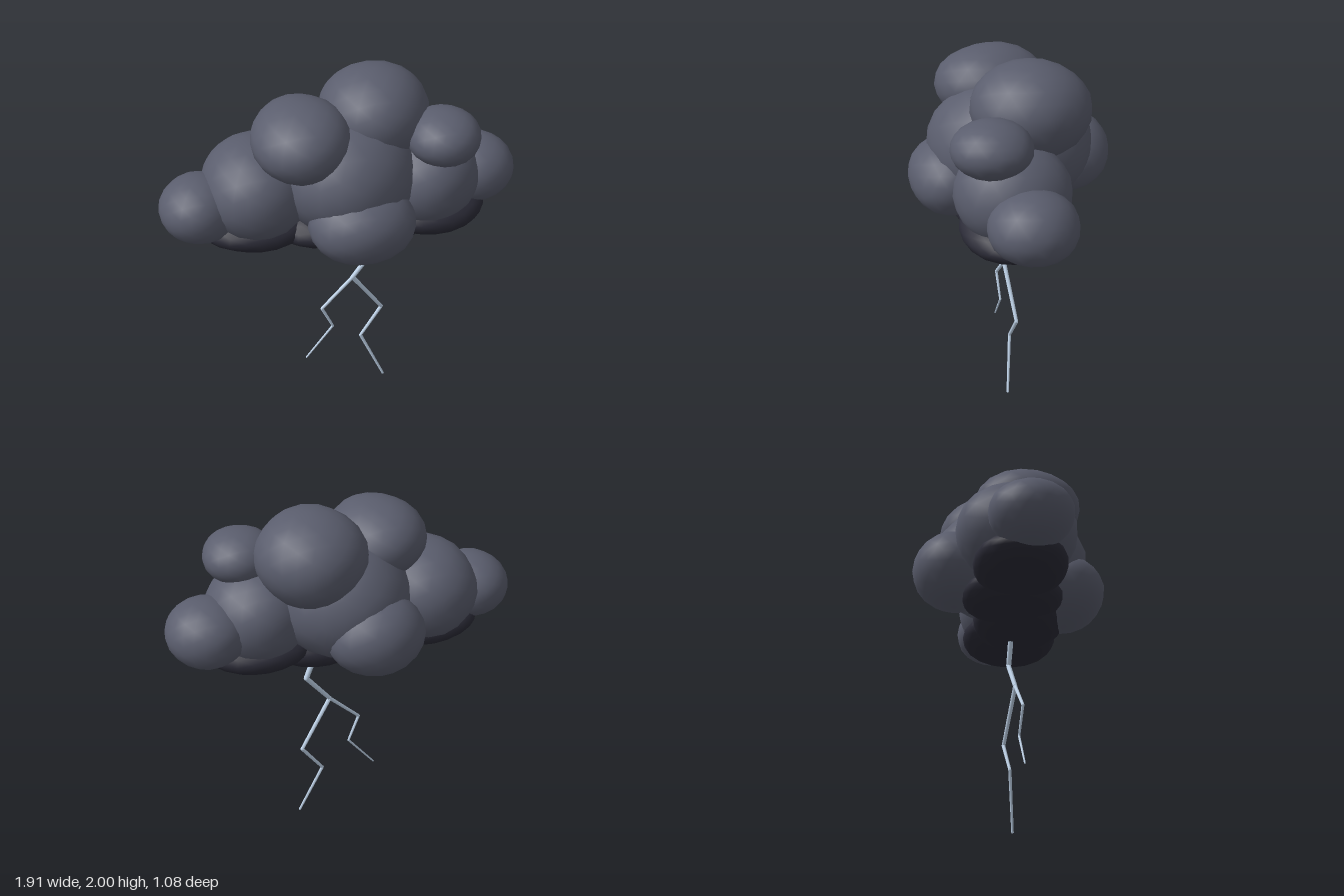
import * as THREE from 'three';
import { mergeVertices } from 'three/addons/utils/BufferGeometryUtils.js';

const cloudMat = new THREE.MeshStandardMaterial({ color: 0x5a5d6d });
const baseMat = new THREE.MeshStandardMaterial({ color: 0x2c2c38 });
const boltMat = new THREE.MeshStandardMaterial({ color: 0xc4d8ee });

// Smooth, slightly lumpy ellipsoid
function puff(name, [x, y, z], [rx, ry, rz], material, seed) {
  let geo = new THREE.IcosahedronGeometry(1, 3);
  geo.deleteAttribute('normal');
  geo.deleteAttribute('uv');
  geo = mergeVertices(geo, 1e-4);
  const pos = geo.attributes.position;
  const v = new THREE.Vector3();
  for (let i = 0; i < pos.count; i++) {
    v.fromBufferAttribute(pos, i);
    const lump = Math.sin(v.x * 3.1 + seed) * Math.sin(v.y * 2.7 + seed * 1.7) * Math.cos(v.z * 2.9 + seed * 0.6);
    v.multiplyScalar(1 + 0.025 * lump);
    pos.setXYZ(i, v.x * rx, v.y * ry, v.z * rz);
  }
  geo.computeVertexNormals();
  const mesh = new THREE.Mesh(geo, material);
  mesh.name = name;
  mesh.position.set(x, y, z);
  return mesh;
}

// Zigzag of tapering rods through the given points
function bolt(name, points, r0, r1) {
  const group = new THREE.Group();
  group.name = name;
  const pts = points.map((p) => new THREE.Vector3(...p));
  const n = pts.length - 1;
  const up = new THREE.Vector3(0, 1, 0);
  for (let i = 0; i < n; i++) {
    const a = pts[i], b = pts[i + 1];
    const ra = THREE.MathUtils.lerp(r0, r1, i / n);
    const rb = THREE.MathUtils.lerp(r0, r1, (i + 1) / n);
    const dir = b.clone().sub(a);
    const rod = new THREE.Mesh(new THREE.CylinderGeometry(rb, ra, dir.length(), 6), boltMat);
    rod.name = 'boltSegment';
    rod.position.copy(a).add(b).multiplyScalar(0.5);
    rod.quaternion.setFromUnitVectors(up, dir.normalize());
    group.add(rod);
    // Joint filling the bend
    if (i > 0) {
      const joint = new THREE.Mesh(new THREE.SphereGeometry(ra, 6, 4), boltMat);
      joint.name = 'boltJoint';
      joint.position.copy(a);
      group.add(joint);
    }
  }
  return group;
}

export function createModel() {
  const model = new THREE.Group();
  model.name = 'stormCloud';

  // Upper cloud puffs: name, centre, radii
  const cloud = new THREE.Group();
  cloud.name = 'cloud';
  [
    ['corePuff', [0.02, 1.49, 0], [0.38, 0.34, 0.44]],
    ['topLeftPuff', [0.19, 1.75, -0.09], [0.29, 0.25, 0.31]],
    ['topRightPuff', [-0.215, 1.73, 0.075], [0.26, 0.2, 0.3]],
    ['rightPuff', [-0.45, 1.43, 0], [0.29, 0.265, 0.33]],
    ['farRightPuff', [-0.755, 1.365, 0.05], [0.205, 0.175, 0.22]],
    ['leftPuff', [0.45, 1.42, 0.03], [0.28, 0.265, 0.3]],
    ['upperLeftPuff', [0.505, 1.7, 0.135], [0.195, 0.14, 0.205]],
    ['farLeftPuff', [0.73, 1.385, -0.04], [0.22, 0.18, 0.225]],
    ['frontPuff', [0.05, 1.335, 0.305], [0.28, 0.205, 0.235]],
    ['backPuff', [-0.08, 1.38, -0.31], [0.26, 0.215, 0.235]],
  ].forEach(([name, c, r], i) => cloud.add(puff(name, c, r, cloudMat, i * 1.3 + 0.5)));

  // Dark flattened underside
  [
    ['rightBase', [-0.46, 1.23, 0.02], [0.31, 0.115, 0.25]],
    ['middleRightBase', [-0.13, 1.21, 0.0], [0.27, 0.115, 0.28]],
    ['middleBase', [0.12, 1.2, 0.06], [0.33, 0.13, 0.26]],
    ['leftBase', [0.46, 1.235, 0.03], [0.31, 0.12, 0.27]],
  ].forEach(([name, c, r], i) => cloud.add(puff(name, c, r, baseMat, i * 1.9 + 0.2)));
  model.add(cloud);

  // Forked lightning
  model.add(bolt('mainBolt', [
    [0.1, 1.2, 0.025], [0.2, 0.95, 0.01], [0.06, 0.77, 0.035],
    [0.24, 0.49, -0.015], [0.115, 0.31, 0.01], [0.25, 0.005, 0.035],
  ], 0.017, 0.007));
  model.add(bolt('branchBolt', [
    [0.06, 0.77, 0.035], [-0.12, 0.59, 0.06], [-0.055, 0.44, 0.045], [-0.215, 0.235, 0.06],
  ], 0.011, 0.005));
  return model;
}
